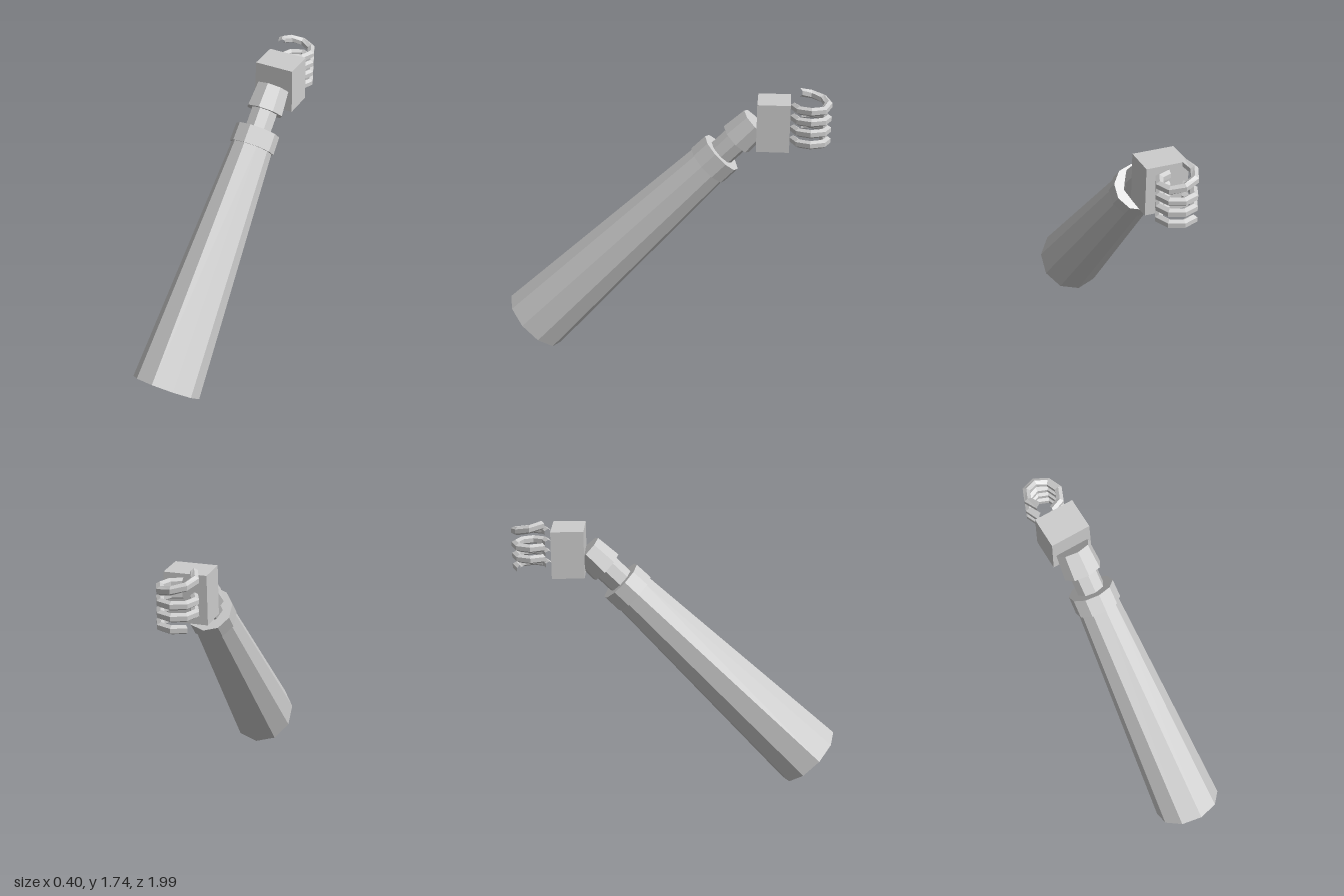
import * as THREE from 'three';

const grey = new THREE.MeshStandardMaterial({ color: 0xcccccc, flatShading: true });
grey.name = 'lightGrey';

function part(name, geometry) {
  const mesh = new THREE.Mesh(geometry, grey);
  mesh.name = name;
  return mesh;
}

// Faceted tapered section lying between two distances along the arm axis
function section(name, from, to, rFrom, rTo, sides, sx = 1, sz = 1) {
  const g = new THREE.CylinderGeometry(rTo, rFrom, to - from, sides);
  g.scale(sx, 1, sz);
  g.translate(0, (from + to) / 2, 0);
  return part(name, g);
}

// Hexagonal finger swept round a vertical axis; rise lifts the far half
function fingerGeometry(y, endDeg, rise) {
  const R = 0.1, r = 0.026, cz = -0.872, start = 0, sides = 6;
  const segments = Math.round((endDeg - start) / 45);
  const pos = [], idx = [];
  for (let i = 0; i <= segments; i++) {
    const a = THREE.MathUtils.degToRad(start + (endDeg - start) * i / segments);
    const lift = rise * Math.max(0, (a - Math.PI * 0.75) / Math.PI);
    for (let k = 0; k < sides; k++) {
      const p = (k + 0.5) / sides * Math.PI * 2;
      const d = R + r * Math.cos(p);
      pos.push(d * Math.sin(a), y + lift + r * Math.sin(p), cz + d * Math.cos(a));
    }
  }
  for (let i = 0; i < segments; i++) {
    for (let k = 0; k < sides; k++) {
      const a = i * sides + k, b = i * sides + (k + 1) % sides;
      idx.push(a, a + sides, b, b, a + sides, b + sides);
    }
  }
  // End caps
  const last = segments * sides;
  for (let k = 1; k < sides - 1; k++) {
    idx.push(0, k, k + 1, last, last + k + 1, last + k);
  }
  // Make the side faces point outwards
  for (let t = 0; t < segments * sides * 2; t++) {
    const s = t * 3;
    [idx[s + 1], idx[s + 2]] = [idx[s + 2], idx[s + 1]];
  }
  const g = new THREE.BufferGeometry();
  g.setAttribute('position', new THREE.Float32BufferAttribute(pos, 3));
  g.setIndex(idx);
  return orient(g);
}

// Flip all triangles if the closed solid is inside out, then compute normals
function orient(g) {
  const flat = g.toNonIndexed(), p = flat.attributes.position;
  const a = new THREE.Vector3(), b = new THREE.Vector3(), c = new THREE.Vector3();
  let volume = 0;
  for (let i = 0; i < p.count; i += 3) {
    a.fromBufferAttribute(p, i);
    b.fromBufferAttribute(p, i + 1);
    c.fromBufferAttribute(p, i + 2);
    volume += a.dot(b.cross(c));
  }
  if (volume < 0) {
    for (let i = 0; i < p.count; i += 3) {
      b.fromBufferAttribute(p, i + 1);
      c.fromBufferAttribute(p, i + 2);
      p.setXYZ(i + 1, c.x, c.y, c.z);
      p.setXYZ(i + 2, b.x, b.y, b.z);
    }
  }
  flat.computeVertexNormals();
  return flat;
}

export function createModel() {
  const model = new THREE.Group();
  model.name = 'raisedArm';

  // Sleeve, cuff and wrist along a 45 degree axis
  const arm = new THREE.Group();
  arm.name = 'arm';
  arm.rotation.x = -Math.PI / 4;
  arm.position.set(0, 0.503, 0.503);
  arm.add(
    section('sleeve', -0.477, 1.1, 0.223, 0.135, 10, 0.95),
    section('cuff', 1.085, 1.2, 0.144, 0.142, 10, 0.99),
    section('wrist', 1.15, 1.36, 0.086, 0.086, 8),
    section('gloveCuff', 1.325, 1.482, 0.12, 0.107, 8, 1, 0.92)
  );
  model.add(arm);

  // Palm block, slightly narrower at the top
  const palm = new THREE.BoxGeometry(0.26, 0.285, 0.195);
  const p = palm.attributes.position;
  for (let i = 0; i < p.count; i++) {
    if (p.getY(i) > 0) p.setX(i, p.getX(i) * 0.95);
  }
  palm.translate(0, 1.55, -0.652);
  palm.computeVertexNormals();
  model.add(part('palm', palm));

  // Curled fingers, the top one lifting towards its tip
  const fingers = new THREE.Group();
  fingers.name = 'fingers';
  [
    ['indexFinger', 1.652, 315, 0.07],
    ['middleFinger', 1.585, 315, 0],
    ['ringFinger', 1.517, 315, 0],
    ['littleFinger', 1.449, 225, 0]
  ].forEach(([name, y, end, rise]) => fingers.add(part(name, fingerGeometry(y, end, rise))));
  model.add(fingers);

  return model;
}
